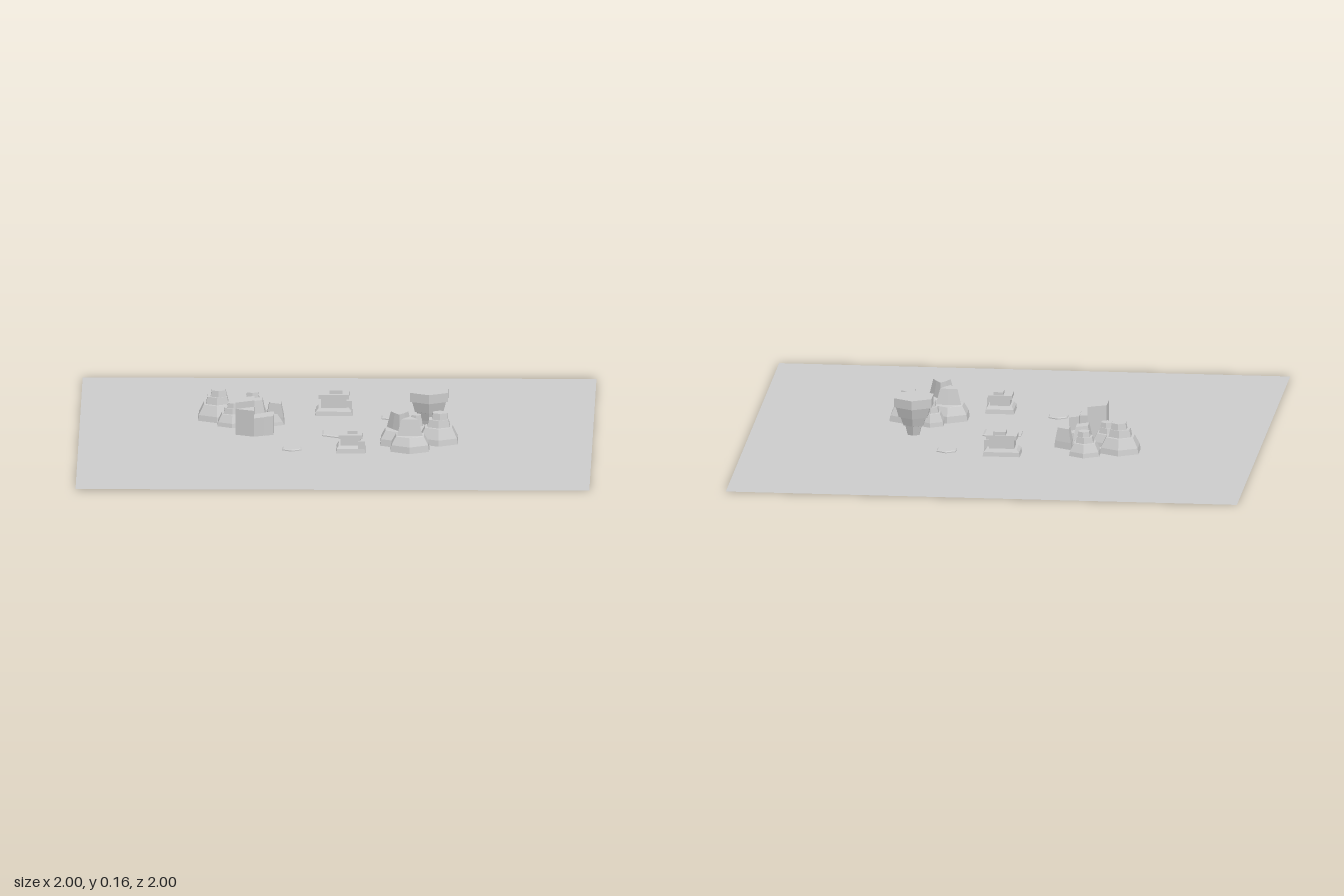
import * as THREE from 'three';

const material = new THREE.MeshStandardMaterial({ color: 0xcccccc, flatShading: true, side: THREE.DoubleSide });
const BASE = 0.007;

function add(parent, name, geometry, x = 0, y = 0, z = 0) {
  const mesh = new THREE.Mesh(geometry, material);
  mesh.name = name;
  mesh.position.set(x, y, z);
  parent.add(mesh);
  return mesh;
}

// Stack of outlines [[y, [[x, z], ...]], ...] skinned into a closed faceted solid
function loft(sections) {
  const n = sections[0][1].length;
  const pos = [], idx = [];
  for (const [y, pts] of sections) for (const [x, z] of pts) pos.push(x, y, z);
  for (let s = 0; s < sections.length - 1; s++) {
    for (let i = 0; i < n; i++) {
      const a = s * n + i, b = s * n + (i + 1) % n;
      idx.push(a, b, b + n, a, b + n, a + n);
    }
  }
  const top = (sections.length - 1) * n;
  for (let i = 1; i < n - 1; i++) idx.push(0, i + 1, i, top, top + i, top + i + 1);
  const g = new THREE.BufferGeometry();
  g.setAttribute('position', new THREE.Float32BufferAttribute(pos, 3));
  g.setIndex(idx);
  const flat = g.toNonIndexed();
  flat.computeVertexNormals();
  return flat;
}

// Hexagon with corners toward +z and -z; odd / even corners may be pulled in
function hex(r, even = 1, odd = 1) {
  return Array.from({ length: 6 }, (_, i) => {
    const a = i * Math.PI / 3, k = r * (i % 2 ? odd : even);
    return [Math.sin(a) * k, Math.cos(a) * k];
  });
}

// profile rows: [y, radius, evenScale, oddScale]
const hexStack = profile => loft(profile.map(([y, r, e, o]) => [y, hex(r, e, o)]));

// Shrink an outline toward its centre
function shrink(pts, k) {
  const cx = pts.reduce((s, p) => s + p[0], 0) / pts.length;
  const cz = pts.reduce((s, p) => s + p[1], 0) / pts.length;
  return pts.map(([x, z]) => [cx + (x - cx) * k, cz + (z - cz) * k]);
}

// Tiered hexagonal rock: broad sloped foot, shoulder, upper block, small cap
function tieredRock(parent, x, z, r, h) {
  const rock = new THREE.Group();
  rock.name = 'tieredRock';
  rock.position.set(x, 0, z);
  add(rock, 'rockBody', hexStack([
    [BASE, r], [h * 0.24, r * 0.95], [h * 0.56, r * 0.7], [h * 0.57, r * 0.58], [h * 0.8, r * 0.5]]));
  const cap = hex(r * 0.42).map(([a, b]) => [a + r * 0.06, b]);
  add(rock, 'rockCap', loft([[h * 0.78, cap], [h, shrink(cap, 0.85)]]));
  parent.add(rock);
}

// Rock whose hexagonal foot changes to a blunt triangular peak
function peakRock(parent, x, z, r, h, flip) {
  const e = flip ? 0.55 : 1, o = flip ? 1 : 0.55;
  add(parent, 'peakRock', hexStack([
    [BASE, r], [h * 0.25, r * 0.95], [h * 0.5, r * 0.72, 1, 1],
    [h * 0.52, r * 0.66, e, o], [h, r * 0.45, e, o]]), x, 0, z);
}

// Hexagon divided into three tapering rhombs of different heights
function splitRock(parent, x, z, r, heights) {
  const rock = new THREE.Group();
  rock.name = 'splitRock';
  rock.position.set(x, 0, z);
  const c = hex(r);
  heights.forEach((h, i) => {
    const k = i * 2;
    const outline = [[0, 0], c[(k + 5) % 6], c[k], c[k + 1]];
    add(rock, 'rockWedge', loft([
      [BASE, shrink(outline, 0.97)], [h * 0.4, shrink(outline, 0.9)], [h, shrink(outline, 0.62)]]));
  });
  parent.add(rock);
}

// Small stepped house: sloped plinth, body, flat roof and roof boxes
function house(parent, x, z, w, d, h, side) {
  const g = new THREE.Group();
  g.name = 'house';
  g.position.set(x, 0, z);
  const rect = k => [[-w * k, d * k], [w * k, d * k], [w * k, -d * k], [-w * k, -d * k]];
  add(g, 'plinth', loft([[BASE, rect(0.5)], [0.024, rect(0.48)], [0.036, rect(0.41)]]));
  const box = (name, bw, y0, y1, bd, bx = 0, bz = 0) =>
    add(g, name, new THREE.BoxGeometry(w * bw, y1 - y0, d * bd), w * bx, (y0 + y1) / 2, d * bz);
  box('walls', 0.68, 0.036, h * 0.7, 0.68);
  box('roof', 0.82, h * 0.7, h * 0.86, 0.8);
  box('roofBox', 0.34, h * 0.86, h, 0.5, 0.06, -0.08);
  box('sideBox', 0.24, BASE, h * 0.6, 0.3, 0.37, side);
  parent.add(g);
}

export function createModel() {
  const model = new THREE.Group();
  model.name = 'rockyOutpost';

  const ground = add(model, 'ground', new THREE.PlaneGeometry(2, 2));
  ground.rotation.x = -Math.PI / 2;

  // Flat hexagonal pads
  [[0.02, 0, 0.086], [0.21, -0.285, 0.043], [-0.168, 0.28, 0.043]].forEach(([x, z, r]) =>
    add(model, 'hexPad', hexStack([[0.001, r], [0.005, r], [0.008, r * 0.89]]), x, 0, z));

  // Rock cluster at the back right
  const backRocks = new THREE.Group();
  backRocks.name = 'backRocks';
  model.add(backRocks);
  tieredRock(backRocks, -0.465, -0.243, 0.087, 0.122);
  tieredRock(backRocks, -0.333, -0.305, 0.068, 0.1);
  tieredRock(backRocks, -0.405, -0.135, 0.067, 0.095);
  splitRock(backRocks, -0.275, -0.17, 0.084, [0.05, 0.085, 0.095]);

  // Straight-sided stone columns of stepped height
  const columns = new THREE.Group();
  columns.name = 'stoneColumns';
  model.add(columns);
  const column = (h, pts) => add(columns, 'stoneColumn', loft([[BASE, pts], [h, pts]]));
  column(0.135, [[-0.39, 0.05], [-0.353, 0.03], [-0.318, 0.01], [-0.318, -0.072], [-0.353, -0.052], [-0.39, -0.035]]);
  column(0.11, [[-0.39, 0.05], [-0.318, 0.085], [-0.318, 0.01]]);
  column(0.08, [[-0.318, 0.085], [-0.28, 0.065], [-0.28, 0.01], [-0.318, 0.01]]);
  column(0.082, [[-0.28, 0.068], [-0.242, 0.05], [-0.242, -0.035], [-0.28, -0.015]]);

  // Rock cluster at the front left
  const frontRocks = new THREE.Group();
  frontRocks.name = 'frontRocks';
  model.add(frontRocks);
  tieredRock(frontRocks, 0.31, 0.095, 0.058, 0.1);
  tieredRock(frontRocks, 0.402, 0.167, 0.087, 0.125);
  peakRock(frontRocks, 0.25, 0.195, 0.087, 0.13, false);
  peakRock(frontRocks, 0.292, 0.303, 0.087, 0.13, true);

  // Overhanging rock: narrow foot widening to a thick slab
  add(model, 'overhangRock', hexStack([
    [BASE, 0.026], [0.045, 0.036], [0.047, 0.044], [0.08, 0.056], [0.082, 0.064],
    [0.122, 0.076], [0.124, 0.085], [0.16, 0.085]]), 0.362, 0, -0.065);

  house(model, -0.013, -0.335, 0.145, 0.092, 0.103, 0.1);
  house(model, 0.062, 0.329, 0.114, 0.105, 0.09, 0.33);

  return model;
}
